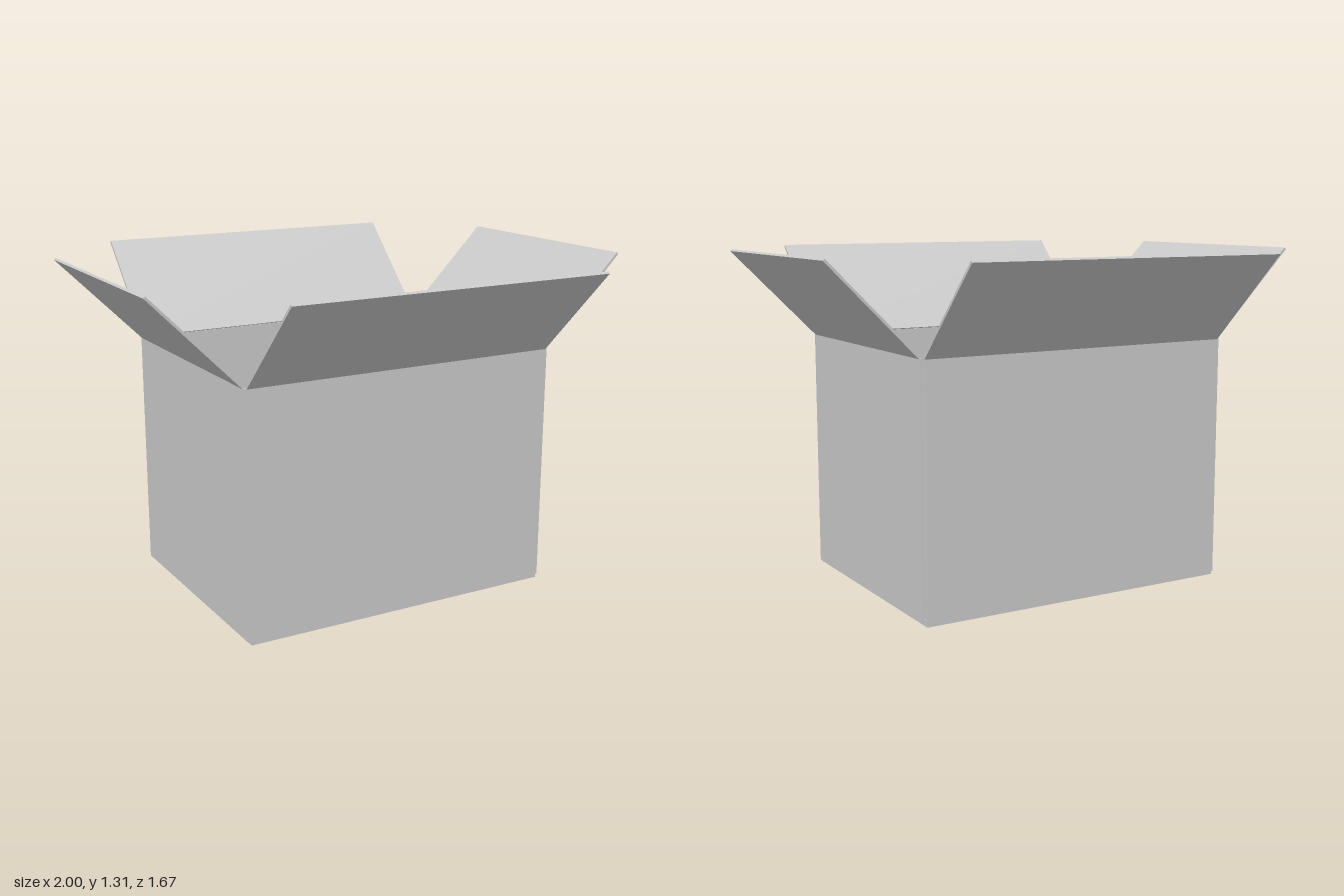
import * as THREE from 'three';

const T = 0.01;        // board thickness
const RIM = 0.962;     // fold height of the top flaps
const FLAP = 0.49;     // top flap length

const board = new THREE.MeshStandardMaterial({ color: 0xcccccc, flatShading: true });

function panel(name, w, h, d, x, y, z) {
  const mesh = new THREE.Mesh(new THREE.BoxGeometry(w, h, d), board);
  mesh.name = name;
  mesh.position.set(x, y, z);
  return mesh;
}

// One side of the carton, facing local +z: wall, raised top flap, folded bottom flap
function createSide({ name, angle, dist, wall, flap, shift, floorY, floorLength }) {
  const side = new THREE.Group();
  side.name = name + 'Side';
  side.rotation.y = angle;

  const base = floorY - T / 2;
  side.add(panel(name + 'Wall', wall, RIM - base, T, shift, (RIM + base) / 2, dist));

  const hinge = new THREE.Group();
  hinge.name = name + 'TopFlapHinge';
  hinge.position.set(shift, RIM, dist);
  hinge.rotation.x = Math.PI / 4;
  hinge.add(panel(name + 'TopFlap', flap, FLAP, T, 0, FLAP / 2, 0));
  side.add(hinge);

  side.add(panel(name + 'BottomFlap', flap, T, floorLength, 0, floorY, dist - T / 2 - floorLength / 2));
  return side;
}

export function createModel() {
  const box = new THREE.Group();
  box.name = 'openCardboardBox';

  // Long bottom flaps almost meet at the centre seam, short ones lie on top of them
  const long = { dist: 0.485, wall: 1.29, flap: 1.29, shift: 0, floorY: 0.005, floorLength: 0.478 };
  const short = { dist: 0.65, wall: 0.97, flap: 0.955, shift: 0, floorY: 0.015, floorLength: 0.475 };

  const sides = [
    { ...long, name: 'front', angle: 0 },
    { ...long, name: 'back', angle: Math.PI },
    { ...short, name: 'right', angle: -Math.PI / 2 },
    // the left wall stops short of the back, where the glued joint is
    { ...short, name: 'left', angle: Math.PI / 2, wall: 0.96, flap: 0.947, shift: -0.005 },
  ];
  for (const s of sides) box.add(createSide(s));

  // Glue tab folded from the left wall against the inside of the back wall
  box.add(panel('glueTab', 0.055, 0.92, T, 0.6175, 0.49, -0.475));

  return box;
}
